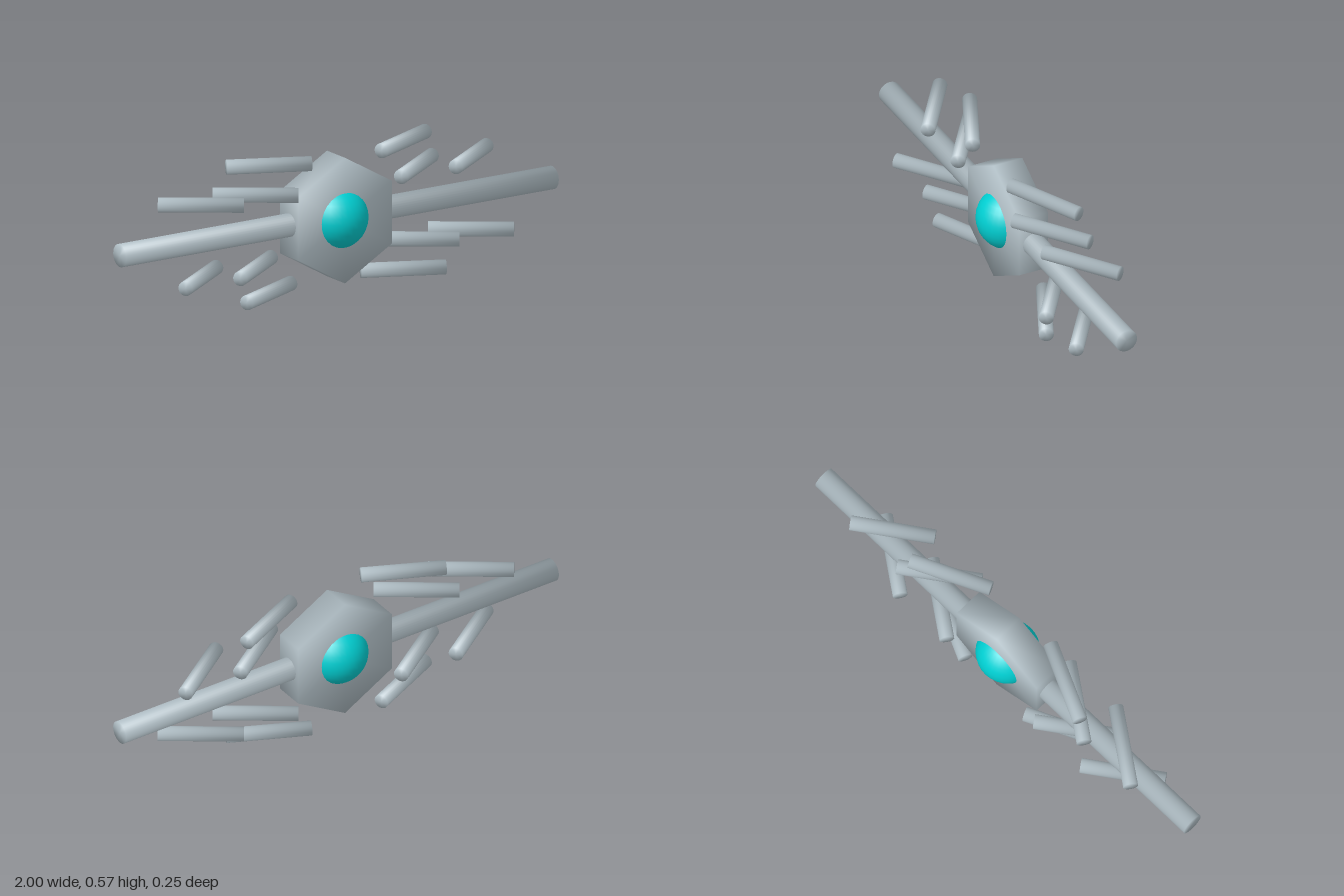
import * as THREE from 'three';

const MID = 0.283; // height of the central axis

// Cylinder along +y whose rim normals blend side and cap softly
function softCylinder(radius, length, sides) {
  const geo = new THREE.CylinderGeometry(radius, radius, length, sides);
  const p = geo.attributes.position;
  const n = new THREE.Vector3();
  for (let i = 0; i < p.count; i++) {
    n.set(p.getX(i) / radius, Math.sign(p.getY(i)), p.getZ(i) / radius).normalize();
    geo.attributes.normal.setXYZ(i, n.x, n.y, n.z);
  }
  return geo;
}

export function createModel() {
  const model = new THREE.Group();
  model.name = 'spaceStation';

  const hull = new THREE.MeshStandardMaterial({ color: 0xb0bec5 });
  hull.name = 'pale blue grey';
  const glow = new THREE.MeshStandardMaterial({ color: 0x00ced1 });
  glow.name = 'turquoise';

  const add = (name, geo, material, x, y) => {
    const mesh = new THREE.Mesh(geo, material);
    mesh.name = name;
    mesh.position.set(x, y, 0);
    model.add(mesh);
    return mesh;
  };

  // Hexagonal hub with a corner at top and bottom
  const hubGeo = softCylinder(0.25, 0.124, 6);
  hubGeo.rotateX(Math.PI / 2);
  add('hexagonalHub', hubGeo, hull, 0, MID);

  // Core ball bulging out of both hub faces
  add('core', new THREE.SphereGeometry(0.125, 32, 16), glow, 0, MID);

  // Long beam through the hub
  const beamGeo = softCylinder(0.0455, 2, 32);
  beamGeo.rotateZ(-Math.PI / 2);
  add('mainBeam', beamGeo, hull, 0, MID + 0.002);

  // Floating rods: mirrored left/right, tilted oppositely above and below
  const rodGeo = softCylinder(0.029, 0.33, 24);
  rodGeo.rotateZ(-Math.PI / 2);
  const rods = [
    { name: 'outerRod', x: 0.311, dy: 0.254, tilt: 25 },
    { name: 'innerRod', x: 0.372, dy: 0.145, tilt: 35 },
    { name: 'farRod', x: 0.625, dy: 0.145, tilt: 35 },
  ];
  for (const { name, x, dy, tilt } of rods) {
    for (const side of [-1, 1]) {
      for (const level of [-1, 1]) {
        const label = name + (level > 0 ? 'Upper' : 'Lower') + (side > 0 ? 'Left' : 'Right');
        const rod = add(label, rodGeo, hull, side * x, MID + level * dy);
        rod.rotation.y = side * level * THREE.MathUtils.degToRad(tilt);
      }
    }
  }

  return model;
}
